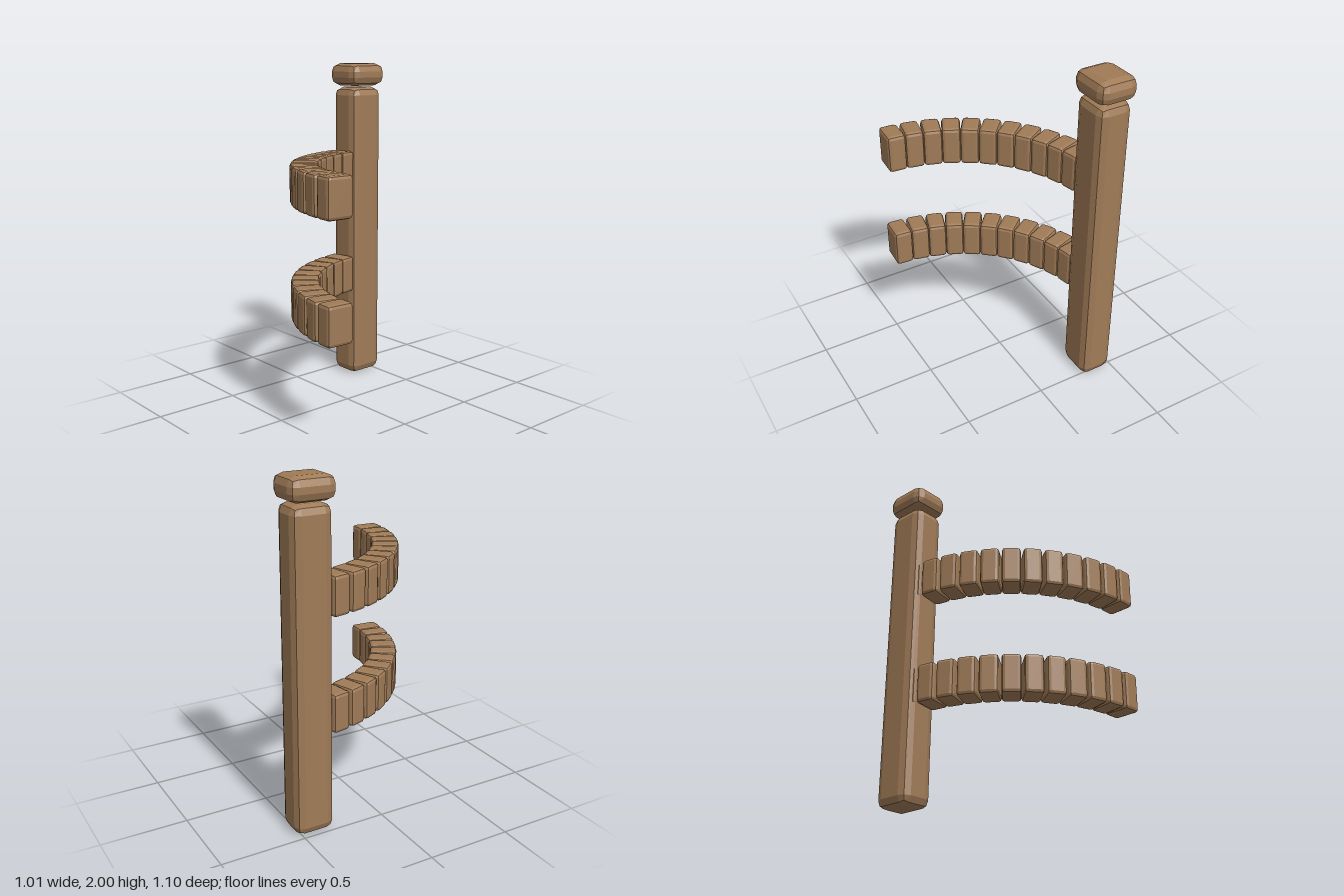
import * as THREE from 'three';
import { RoundedBoxGeometry } from 'three/addons/geometries/RoundedBoxGeometry.js';

export function createModel() {
  const model = new THREE.Group();
  model.name = 'curvedFenceCorner';

  const wood = new THREE.MeshStandardMaterial({ color: 0xa07b57, flatShading: true });
  wood.name = 'wood';

  // Box with a two-step bevel on every edge
  const block = (name, w, h, d, bevel) => {
    const mesh = new THREE.Mesh(new RoundedBoxGeometry(w, h, d, 1, bevel), wood);
    mesh.name = name;
    return mesh;
  };

  // Upright post and its cap
  const postX = -0.388, postZ = -0.418;
  const post = block('post', 0.205, 1.855, 0.235, 0.05);
  post.position.set(postX, 0.9275, postZ);
  const cap = block('postCap', 0.237, 0.136, 0.268, 0.05);
  cap.position.set(postX, 1.932, postZ);
  model.add(post, cap);

  // Two rails, each a quarter circle of short blocks
  const count = 12, radius = 0.886, centreX = 0.502, centreZ = -0.416;
  [['lowerRail', 0.678], ['upperRail', 1.349]].forEach(([name, y]) => {
    const rail = new THREE.Group();
    rail.name = name;
    for (let i = 0; i < count; i++) {
      const angle = ((i + 0.5) / count) * (Math.PI / 2);
      const piece = block('railBlock', 0.11, 0.231, 0.163, 0.02);
      piece.position.set(centreX - radius * Math.sin(angle), y, centreZ + radius * Math.cos(angle));
      piece.rotation.y = -angle;
      rail.add(piece);
    }
    model.add(rail);
  });

  return model;
}
